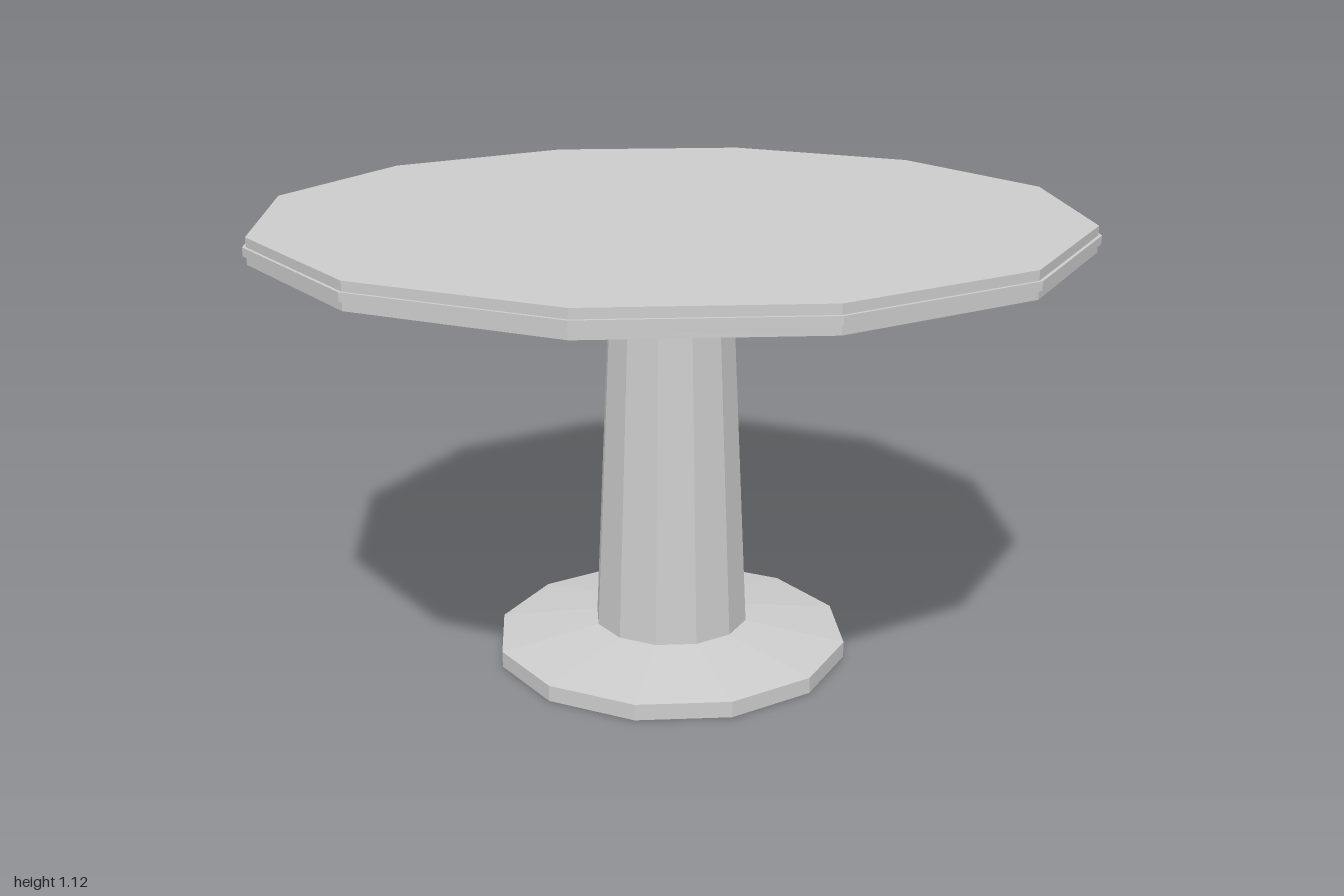
import * as THREE from 'three';

const SIDES = 12;

// Faceted turned part from a [radius, y] profile running bottom to top
function turned(name, profile, material) {
  const points = profile.map(([r, y]) => new THREE.Vector2(r, y));
  const mesh = new THREE.Mesh(new THREE.LatheGeometry(points, SIDES), material);
  mesh.name = name;
  return mesh;
}

export function createModel() {
  const group = new THREE.Group();
  group.name = 'pedestalTable';
  const grey = new THREE.MeshStandardMaterial({ color: 0xcccccc, flatShading: true });

  // Foot: low disc with a sloping upper face
  group.add(turned('base', [[0, 0], [0.443, 0], [0.443, 0.04], [0.19, 0.08], [0, 0.08]], grey));

  // Tapered column
  group.add(turned('column', [[0.193, 0.078], [0.155, 0.89]], grey));

  // Collar under the table top
  group.add(turned('collar', [[0, 0.888], [0.197, 0.888], [0.197, 0.97], [0.186, 1.008], [0.186, 1.06]], grey));

  // Table top with a thin raised band around the middle of its rim
  group.add(turned('tableTop', [
    [0, 1.06], [0.992, 1.06], [0.992, 1.08], [1, 1.08],
    [1, 1.1], [0.992, 1.1], [0.992, 1.122], [0, 1.122],
  ], grey));

  return group;
}
